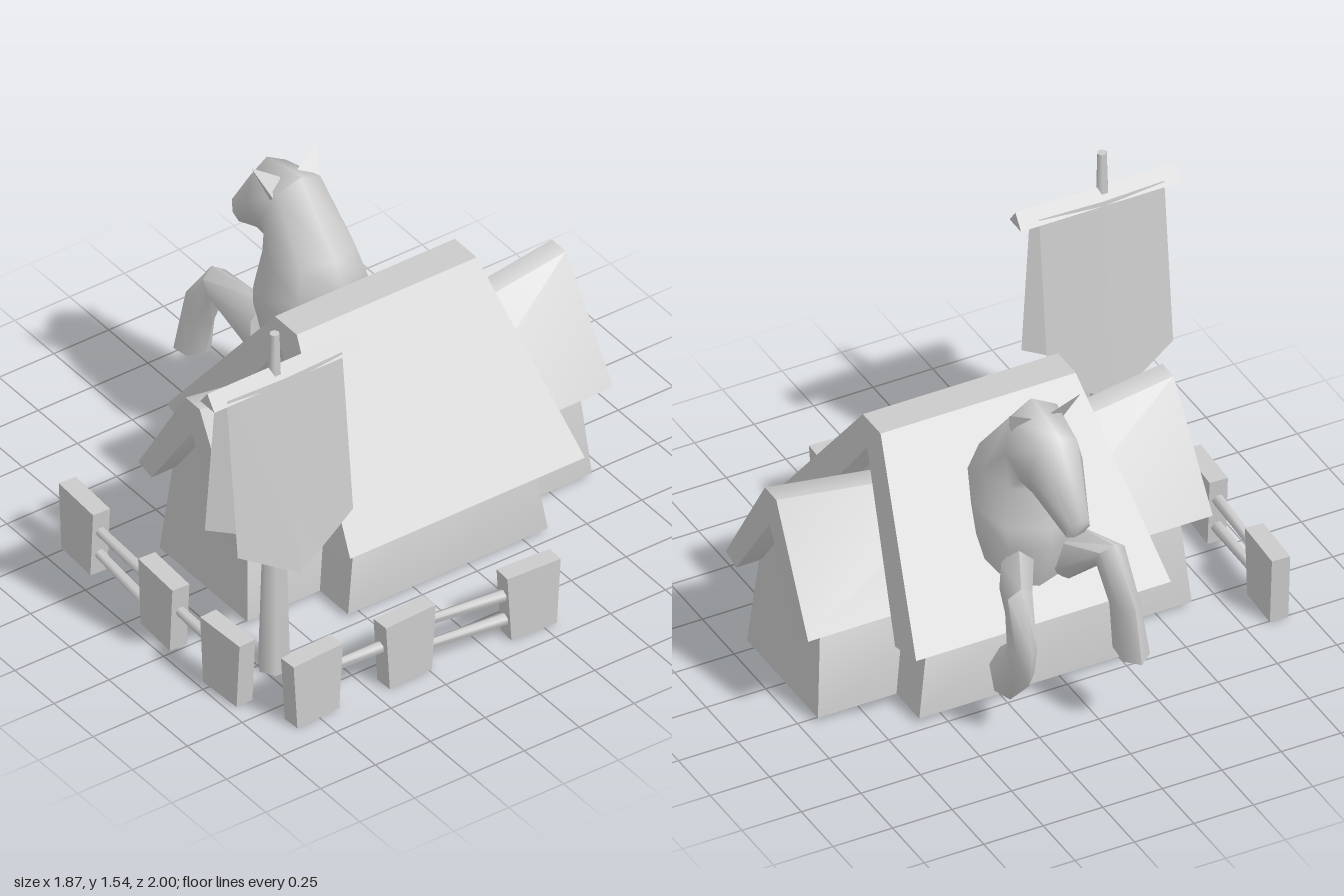
import * as THREE from 'three';
import { toCreasedNormals } from 'three/addons/utils/BufferGeometryUtils.js';
import { ConvexGeometry } from 'three/addons/geometries/ConvexGeometry.js';

const material = new THREE.MeshStandardMaterial({ color: 0xcccccc, side: THREE.DoubleSide });
const HOUSE_Z = -0.145;
const HORSE_Z = -0.12;

function add(parent, name, geometry, crease = 0.9) {
  const mesh = new THREE.Mesh(toCreasedNormals(geometry, crease), material);
  mesh.name = name;
  parent.add(mesh);
  return mesh;
}

function moveVertices(geometry, rule) {
  const p = geometry.attributes.position;
  const v = new THREE.Vector3();
  for (let i = 0; i < p.count; i++) {
    rule(v.fromBufferAttribute(p, i));
    p.setXYZ(i, v.x, v.y, v.z);
  }
  return geometry;
}

// Mirrored gable outline extruded along z; the length varies with height
function gable(half, [y0, len0], [y1, len1], dip = 0) {
  const mirrored = half.filter(([x]) => x > 0).reverse().map(([x, y]) => [-x, y]);
  const shape = new THREE.Shape([...half, ...mirrored].map(([x, y]) => new THREE.Vector2(x, y)));
  const geometry = new THREE.ExtrudeGeometry(shape, { depth: 2, steps: 2, bevelEnabled: false });
  return moveVertices(geometry, (v) => {
    const t = (v.y - y0) / (y1 - y0);
    const end = v.z - 1;
    v.z = HOUSE_Z + end * THREE.MathUtils.lerp(len0, len1, t);
    if (Math.abs(end) < 0.5) v.y -= dip * t;
  });
}

// Removes the floor of a wall shell
function openBottom(geometry, floor) {
  const p = geometry.attributes.position;
  const kept = [];
  for (let i = 0; i < p.count; i += 3) {
    if ([0, 1, 2].every((k) => p.getY(i + k) < floor + 0.001)) continue;
    for (let k = 0; k < 3; k++) kept.push(p.getX(i + k), p.getY(i + k), p.getZ(i + k));
  }
  return new THREE.BufferGeometry().setAttribute('position', new THREE.Float32BufferAttribute(kept, 3));
}

// Skin over elliptical sections: [front x, front y, back x, back y, half width, centre z]
function loft(sections, sides = 8) {
  const pos = [];
  const index = [];
  for (const [ax, ay, bx, by, w, z] of sections) {
    for (let i = 0; i < sides; i++) {
      const a = (i / sides) * Math.PI * 2;
      const t = (1 - Math.cos(a)) / 2;
      pos.push(ax + (bx - ax) * t, ay + (by - ay) * t, z + w * Math.sin(a));
    }
  }
  const last = (sections.length - 1) * sides;
  for (let s = 0; s < last; s += sides) {
    for (let i = 0; i < sides; i++) {
      const j = (i + 1) % sides;
      index.push(s + i, s + j, s + sides + i, s + j, s + sides + j, s + sides + i);
    }
  }
  for (let i = 1; i < sides - 1; i++) {
    index.push(0, i + 1, i, last, last + i, last + i + 1);
  }
  const geometry = new THREE.BufferGeometry();
  geometry.setAttribute('position', new THREE.Float32BufferAttribute(pos, 3));
  geometry.setIndex(index);
  return geometry;
}

function rod(parent, name, from, to, r0, r1, sides) {
  const a = new THREE.Vector3(...from);
  const b = new THREE.Vector3(...to);
  const mesh = add(parent, name, new THREE.CylinderGeometry(r1, r0, a.distanceTo(b), sides), 1.1);
  mesh.position.copy(a).add(b).multiplyScalar(0.5);
  mesh.quaternion.setFromUnitVectors(new THREE.Vector3(0, 1, 0), b.sub(a).normalize());
}

function createHouse() {
  const house = new THREE.Group();
  house.name = 'house';
  const wall = (name, half, low, high) => add(house, name, openBottom(gable(half, low, high), 0.02));
  wall('mainWalls', [[0.46, 0.02], [0.43, 0.4], [0, 0.98]], [0.02, 0.455], [0.4, 0.4]);
  wall('wingWalls', [[0.28, 0.02], [0.235, 0.45], [0, 0.77]], [0.02, 0.785], [0.4, 0.755]);
  add(house, 'mainRoof', gable(
    [[0.43, 0.36], [0.585, 0.39], [0.07, 1.06], [-0.07, 1.06], [-0.585, 0.39], [-0.43, 0.36], [0, 0.96]]
      .slice(0, 3).concat([]).reduce((h, p) => [...h, p], [[0, 0.96]]),
    [0.39, 0.535], [1.06, 0.41]));
  add(house, 'wingRoof', gable(
    [[0, 0.75], [0.24, 0.4], [0.325, 0.42], [0.045, 0.885]],
    [0.42, 0.85], [0.885, 0.835], 0.13));
  return house;
}

function createHorse() {
  const horse = new THREE.Group();
  horse.name = 'horse';
  add(horse, 'headAndNeck', loft([
    [-0.5, 0.48, -0.34, 0.52, 0.15, HORSE_Z],
    [-0.6, 0.72, -0.2, 0.76, 0.21, HORSE_Z],
    [-0.59, 0.8, -0.17, 0.93, 0.22, HORSE_Z],
    [-0.56, 0.97, -0.22, 1.05, 0.18, HORSE_Z],
    [-0.56, 0.98, -0.44, 1.31, 0.14, HORSE_Z],
    [-0.6, 0.965, -0.66, 1.27, 0.115, HORSE_Z],
    [-0.78, 0.89, -0.84, 1.0, 0.05, HORSE_Z],
  ]), 1.2);
  add(horse, 'raisedLeg', loft([
    [-0.5, 0.48, -0.5, 0.75, 0.08, 0],
    [-0.69, 0.66, -0.76, 0.78, 0.06, 0.06],
    [-0.74, 0.53, -0.91, 0.57, 0.05, 0.07],
    [-0.77, 0.37, -0.94, 0.34, 0.065, 0.08],
  ], 6), 1.1);
  add(horse, 'bentLeg', loft([
    [-0.5, 0.48, -0.53, 0.73, 0.08, -0.22],
    [-0.68, 0.53, -0.72, 0.68, 0.06, -0.31],
    [-0.67, 0.42, -0.82, 0.44, 0.05, -0.32],
    [-0.65, 0.4, -0.8, 0.29, 0.05, -0.32],
    [-0.59, 0.34, -0.67, 0.15, 0.065, -0.33],
  ], 6), 1.1);
  for (const side of [-1, 1]) {
    const corners = [[-0.55, 1.35, 0.15], [-0.43, 1.1, 0.07], [-0.52, 1.28, 0.04], [-0.46, 1.22, 0.1]];
    add(horse, side > 0 ? 'leftEar' : 'rightEar', new ConvexGeometry(
      corners.map(([x, y, z]) => new THREE.Vector3(x, y, HORSE_Z + side * z))), 0.1);
  }
  return horse;
}

function createBanner() {
  const banner = new THREE.Group();
  banner.name = 'banner';
  rod(banner, 'pole', [0.535, 0, 0.7], [0.53, 1.54, 0.695], 0.066, 0.02, 6);
  // Triangular crossbar
  const bar = add(banner, 'crossbar', new THREE.CylinderGeometry(0.04, 0.04, 0.67, 3), 0.5);
  bar.geometry.rotateX(-Math.PI / 2).scale(1.3, 1, 1);
  bar.position.set(0.528, 1.35, 0.665);
  // Two creased cloths hanging either side of the pole
  for (const side of [-1, 1]) {
    const cloth = new THREE.PlaneGeometry(2, 1, 2, 1);
    moveVertices(cloth, (v) => {
      const edge = Math.abs(v.x);
      const low = v.y < 0;
      const out = low ? 0.14 - 0.035 * edge : 0.045 - 0.01 * edge;
      v.set(0.53 + side * out, low ? 0.5 + 0.165 * edge : 1.35, 0.675 + v.x * 0.263);
    });
    add(banner, 'cloth', cloth, 0.1);
  }
  return banner;
}

function createFence() {
  const fence = new THREE.Group();
  fence.name = 'fence';
  // Post: x, z, yaw
  const posts = [
    [-0.41, 0.89, -0.05], [0.138, 0.92, -0.05], [0.56, 0.93, 0.05],
    [0.855, 0.757, Math.PI / 2 + 0.06], [0.86, 0.338, Math.PI / 2 + 0.05], [0.888, -0.207, Math.PI / 2 - 0.05],
  ];
  for (const [x, z, yaw] of posts) {
    const post = moveVertices(new THREE.BoxGeometry(0.235, 0.29, 0.075), (v) => {
      if (v.y < 0) v.x *= 0.85;
    });
    const mesh = add(fence, 'post', post);
    mesh.position.set(x, 0.145, z);
    mesh.rotation.y = yaw;
  }
  // Rail: first post, second post, height at each
  const rails = [[0, 1, 0.195, 0.2], [0, 1, 0.095, 0.065], [1, 2, 0.175, 0.17],
    [3, 4, 0.18, 0.175], [4, 5, 0.215, 0.185], [4, 5, 0.1, 0.075]];
  for (const [i, j, y0, y1] of rails) {
    rod(fence, 'rail', [posts[i][0], y0, posts[i][1]], [posts[j][0], y1, posts[j][1]], 0.02, 0.026, 6);
  }
  return fence;
}

export function createModel() {
  const model = new THREE.Group();
  model.name = 'stable';
  model.add(createHouse(), createHorse(), createBanner(), createFence());
  return model;
}
